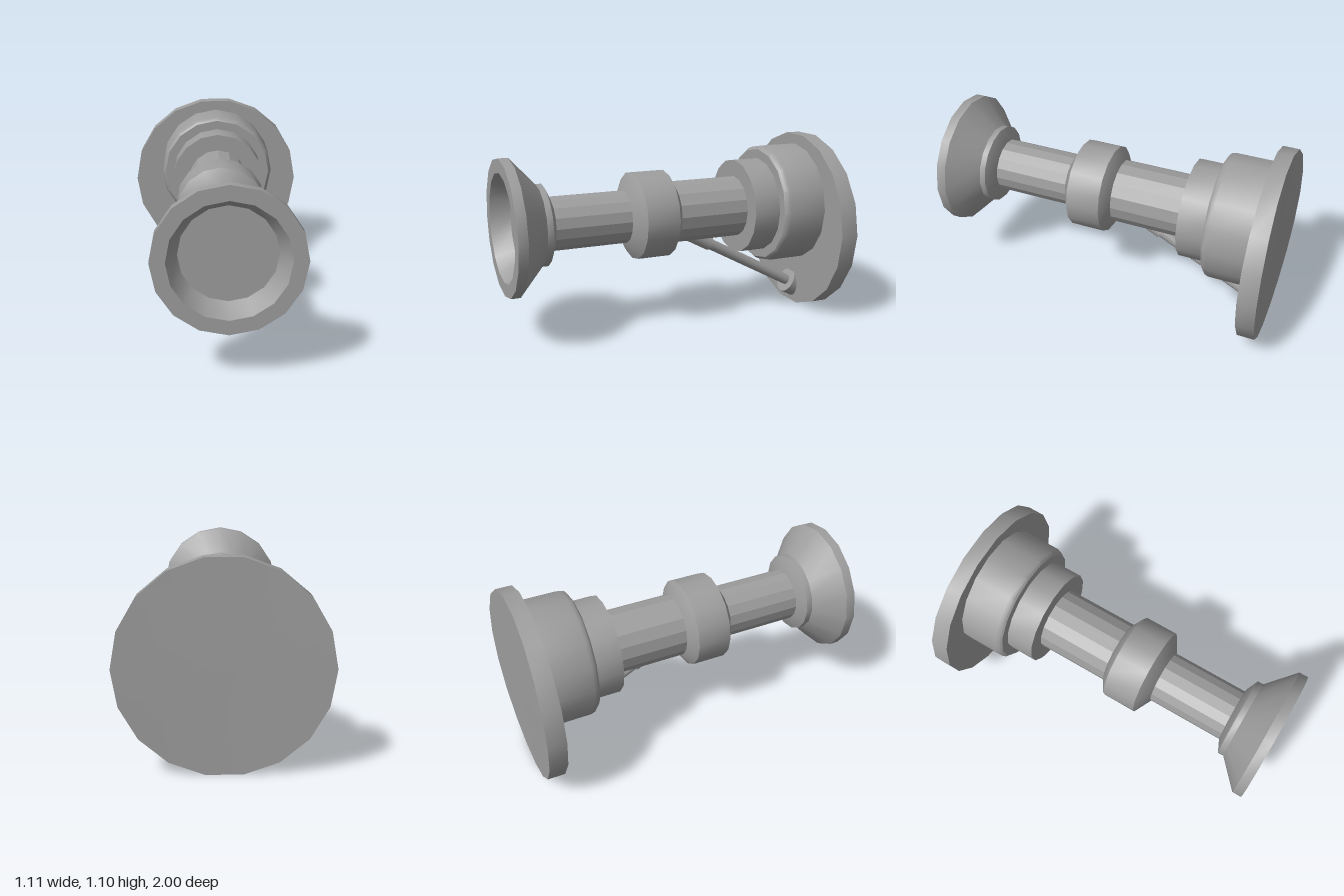
import * as THREE from 'three';
import { toCreasedNormals } from 'three/addons/utils/BufferGeometryUtils.js';

const AXIS_Y = 0.675;
const SMOOTH = 0.62, FACETED = 0.1;

export function createModel() {
  const group = new THREE.Group();
  const material = new THREE.MeshStandardMaterial({ color: 0x9e9e9e });

  function add(name, geometry, crease = SMOOTH) {
    const mesh = new THREE.Mesh(toCreasedNormals(geometry, crease), material);
    mesh.name = name;
    group.add(mesh);
    return mesh;
  }

  // Turned part along z; profile pairs are [radius, z], back to front
  function turned(profile, sides = 16, start = 0) {
    const points = profile.map(([r, z]) => new THREE.Vector2(r, z));
    return new THREE.LatheGeometry(points, sides, start).rotateX(Math.PI / 2);
  }

  function addTurned(name, profile, x = 0, crease = SMOOTH) {
    add(name, turned(profile), crease).position.set(x, AXIS_Y, 0);
  }

  // Mounting plate, its back gently bowed towards the sides
  const plate = turned([[0, -0.985], [0.557, -0.985], [0.557, -0.893], [0, -0.893]], 18, Math.PI / 2);
  const pos = plate.attributes.position;
  for (let i = 0; i < pos.count; i++) {
    if (pos.getZ(i) < -0.94) pos.setZ(i, pos.getZ(i) - 0.015 * (pos.getX(i) / 0.557) ** 2);
  }
  add('mountingPlate', plate).position.y = 0.552;

  // Stepped housing with a softly rounded front edge
  addTurned('housing', [
    [0, -0.9], [0.367, -0.9], [0.367, -0.66], [0.359, -0.636], [0.346, -0.625], [0, -0.625],
  ]);
  addTurned('housingStep', [[0, -0.64], [0.29, -0.64], [0.29, -0.46], [0, -0.46]]);

  // Two tubes joined by a collar
  addTurned('rearTube', [[0, -0.48], [0.187, -0.48], [0.187, 0], [0, 0]], 0, FACETED);
  addTurned('collar', [[0, -0.025], [0.187, -0.025], [0.261, 0.02], [0.261, 0.22], [0.16, 0.275], [0, 0.275]]);
  addTurned('frontTube', [[0, 0.25], [0.157, 0.25], [0.157, 0.75], [0, 0.75]], 0.003, FACETED);

  // Flared head with a recessed face
  addTurned('flaredHead', [
    [0, 0.73], [0.16, 0.73], [0.237, 0.765], [0.237, 0.8], [0.394, 0.945],
    [0.394, 1], [0.314, 1], [0.257, 0.89], [0, 0.89],
  ], 0.01);

  // Sloping brace: cylinders between two points in the x = 0.013 plane
  function strut(name, radius, [y1, z1], [y2, z2]) {
    const a = new THREE.Vector3(0.013, y1, z1), b = new THREE.Vector3(0.013, y2, z2);
    const direction = b.clone().sub(a);
    const geometry = new THREE.CylinderGeometry(radius, radius, direction.length(), 16);
    const mesh = add(name, geometry);
    mesh.position.copy(a).add(b).multiplyScalar(0.5);
    mesh.quaternion.setFromUnitVectors(new THREE.Vector3(0, 1, 0), direction.normalize());
  }
  strut('braceSleeve', 0.042, [0.552, -0.1], [0.45, -0.29]);
  strut('braceRod', 0.033, [0.46, -0.271], [0.132, -0.882]);
  strut('braceFoot', 0.081, [0.143, -0.86], [0.105, -0.93]);

  return group;
}
